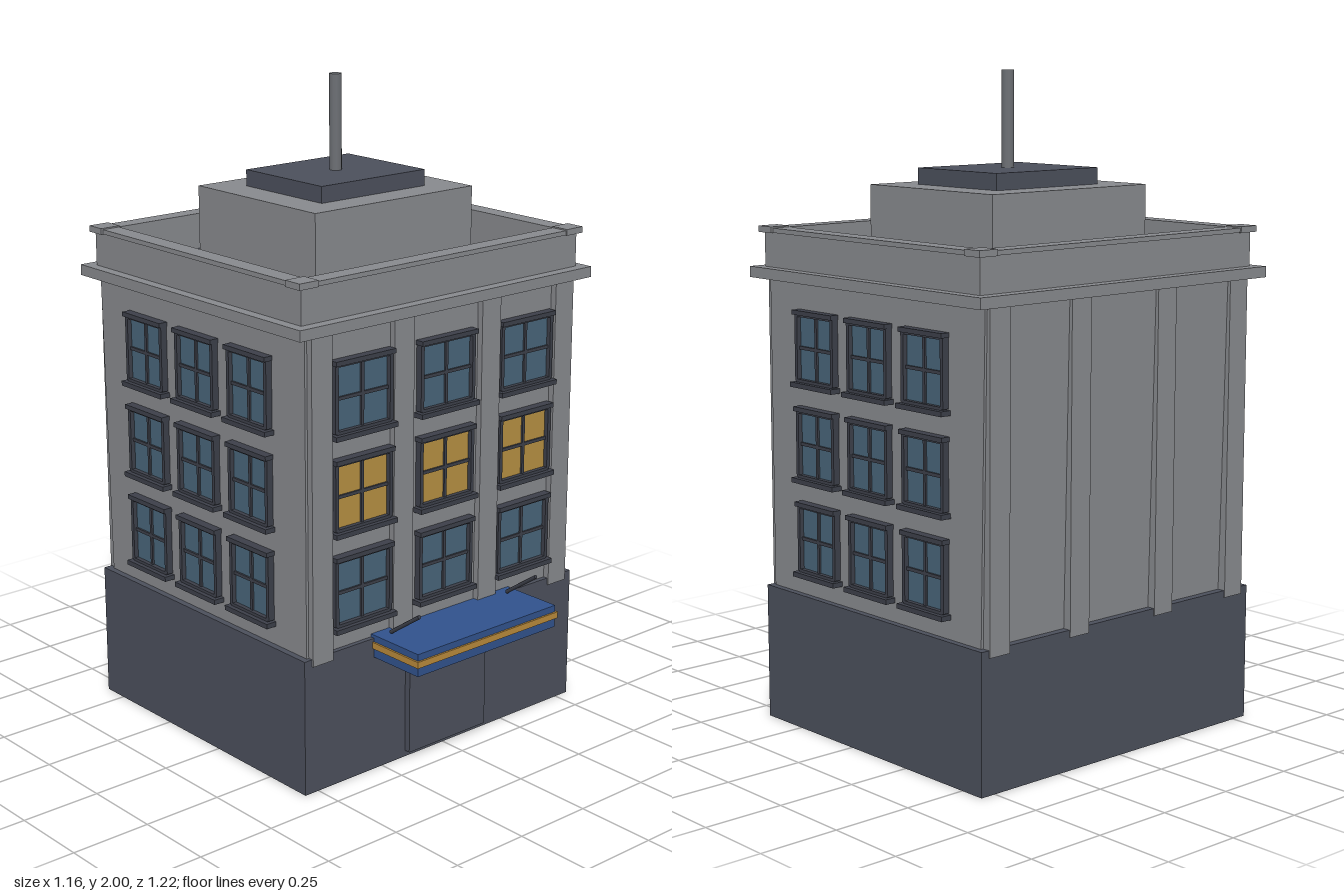
import * as THREE from 'three';

const mat = (name, color) => Object.assign(new THREE.MeshStandardMaterial({ color }), { name });

export function createModel() {
  const stone = mat('stone grey', 0x87898d);
  const slate = mat('dark slate', 0x4b4f5b);
  const trim = mat('window trim', 0x3c3f49);
  const glass = mat('blue glass', 0x486479);
  const lit = mat('lit glass', 0xb58f42);
  const blue = mat('awning blue', 0x31528c);
  const gold = mat('awning gold', 0xb8893a);
  const metal = mat('metal', 0x6c6f74);

  const model = new THREE.Group();
  model.name = 'building';
  const ZC = -0.085; // centre of the tower in depth

  // box given by its min and max on each axis
  const box = (name, m, x0, x1, y0, y1, z0, z1, parent = model) => {
    const mesh = new THREE.Mesh(new THREE.BoxGeometry(x1 - x0, y1 - y0, z1 - z0), m);
    mesh.position.set((x0 + x1) / 2, (y0 + y1) / 2, (z0 + z1) / 2);
    mesh.name = name;
    parent.add(mesh);
    return mesh;
  };

  // Ground floor
  box('base', slate, -0.55, 0.55, 0, 0.422, -0.582, 0.413);

  // Upper floors, with the back wall leaning in slightly at the bottom
  const body = box('upperFloors', stone, -0.53, 0.53, 0.42, 1.39, -0.575, 0.398);
  const p = body.geometry.attributes.position;
  for (let i = 0; i < p.count; i++) {
    if (p.getY(i) < 0 && p.getZ(i) < 0) p.setZ(i, p.getZ(i) + 0.017);
  }
  body.geometry.computeVertexNormals();

  // Pilasters on front and back
  for (const x of [-0.484, -0.174, 0.174, 0.484]) {
    box('frontPilaster', stone, x - 0.038, x + 0.038, 0.4, 1.385, 0.38, 0.418);
    box('backPilaster', stone, x - 0.038, x + 0.038, 0.4, 1.385, -0.585, -0.54);
  }

  // Cornice and recessed roof
  box('cornice', stone, -0.578, 0.578, 1.38, 1.413, -0.61, 0.437);
  box('roofDeck', slate, -0.5, 0.5, 1.41, 1.42, -0.53, 0.36);

  // Rectangular ring around the roof
  const ring = (name, hx, hz, inX, inZ, y0, y1) => {
    const s = new THREE.Shape([[-hx, -hz], [hx, -hz], [hx, hz], [-hx, hz]].map(a => new THREE.Vector2(...a)));
    s.holes.push(new THREE.Path([[-inX, -inZ], [-inX, inZ], [inX, inZ], [inX, -inZ]].map(a => new THREE.Vector2(...a))));
    const mesh = new THREE.Mesh(new THREE.ExtrudeGeometry(s, { depth: y1 - y0, bevelEnabled: false }), stone);
    mesh.rotation.x = -Math.PI / 2;
    mesh.position.set(0, y0, ZC);
    mesh.name = name;
    model.add(mesh);
  };
  ring('parapet', 0.545, 0.487, 0.495, 0.44, 1.41, 1.52);
  ring('parapetCap', 0.552, 0.495, 0.493, 0.438, 1.518, 1.532);
  for (const sx of [-1, 1]) for (const sz of [-1, 1]) {
    const cx = sx * 0.525, cz = ZC + sz * 0.468;
    box('parapetCornerCap', stone, cx - 0.034, cx + 0.034, 1.517, 1.536, cz - 0.031, cz + 0.031);
  }

  // Penthouse and mast
  box('penthouse', stone, -0.31, 0.31, 1.415, 1.66, -0.36, 0.186);
  box('penthouseRoof', slate, -0.204, 0.204, 1.66, 1.71, -0.261, 0.09);
  const mast = new THREE.Mesh(new THREE.CylinderGeometry(0.019, 0.019, 0.3, 12), metal);
  mast.position.set(0, 1.85, ZC);
  mast.name = 'mast';
  model.add(mast);

  // Window facing +z, its back at z = 0
  const makeWindow = (w, pane) => {
    const g = new THREE.Group();
    g.name = 'window';
    const h = 0.2, x = w / 2, y = h / 2, t = 0.012;
    box('pane', pane, -x, x, -y, y, 0, 0.008, g);
    for (const s of [-1, 1]) {
      box('jamb', trim, s * x - t / 2, s * x + t / 2, -y, y, 0, 0.022, g);
      box('rail', trim, -x, x, s * y - t / 2, s * y + t / 2, 0, 0.022, g);
    }
    box('mullion', trim, -0.005, 0.005, -y, y, 0, 0.014, g);
    box('glazingBar', trim, -x, x, -0.005, 0.005, 0, 0.014, g);
    box('lintel', trim, -x - 0.009, x + 0.009, y, y + 0.014, 0, 0.03, g);
    box('sill', trim, -x - 0.014, x + 0.014, -y - 0.018, -y - 0.003, 0, 0.036, g);
    model.add(g);
    return g;
  };
  [0.598, 0.89, 1.182].forEach((y, row) => {
    for (const c of [-1, 0, 1]) {
      makeWindow(0.206, row === 1 ? lit : glass).position.set(c * 0.327, y, 0.397);
      for (const s of [-1, 1]) {
        const side = makeWindow(0.17, glass);
        side.position.set(s * 0.529, y, ZC + c * 0.247);
        side.rotation.y = s * Math.PI / 2;
      }
    }
  });

  // Entrance
  box('door', slate, -0.158, 0.158, 0.02, 0.37, 0.4, 0.433);

  // Awning with gold band and support rods
  box('awning', blue, -0.284, 0.284, 0.362, 0.432, 0.4, 0.603);
  box('awningBand', gold, -0.29, 0.29, 0.391, 0.411, 0.405, 0.609);
  for (const s of [-1, 1]) {
    const rod = new THREE.Mesh(new THREE.CylinderGeometry(0.006, 0.006, 0.148, 8), trim);
    rod.position.set(s * 0.24, 0.481, 0.5);
    rod.rotation.x = Math.atan2(0.12, 0.084);
    rod.name = 'awningRod';
    model.add(rod);
  }
  return model;
}
